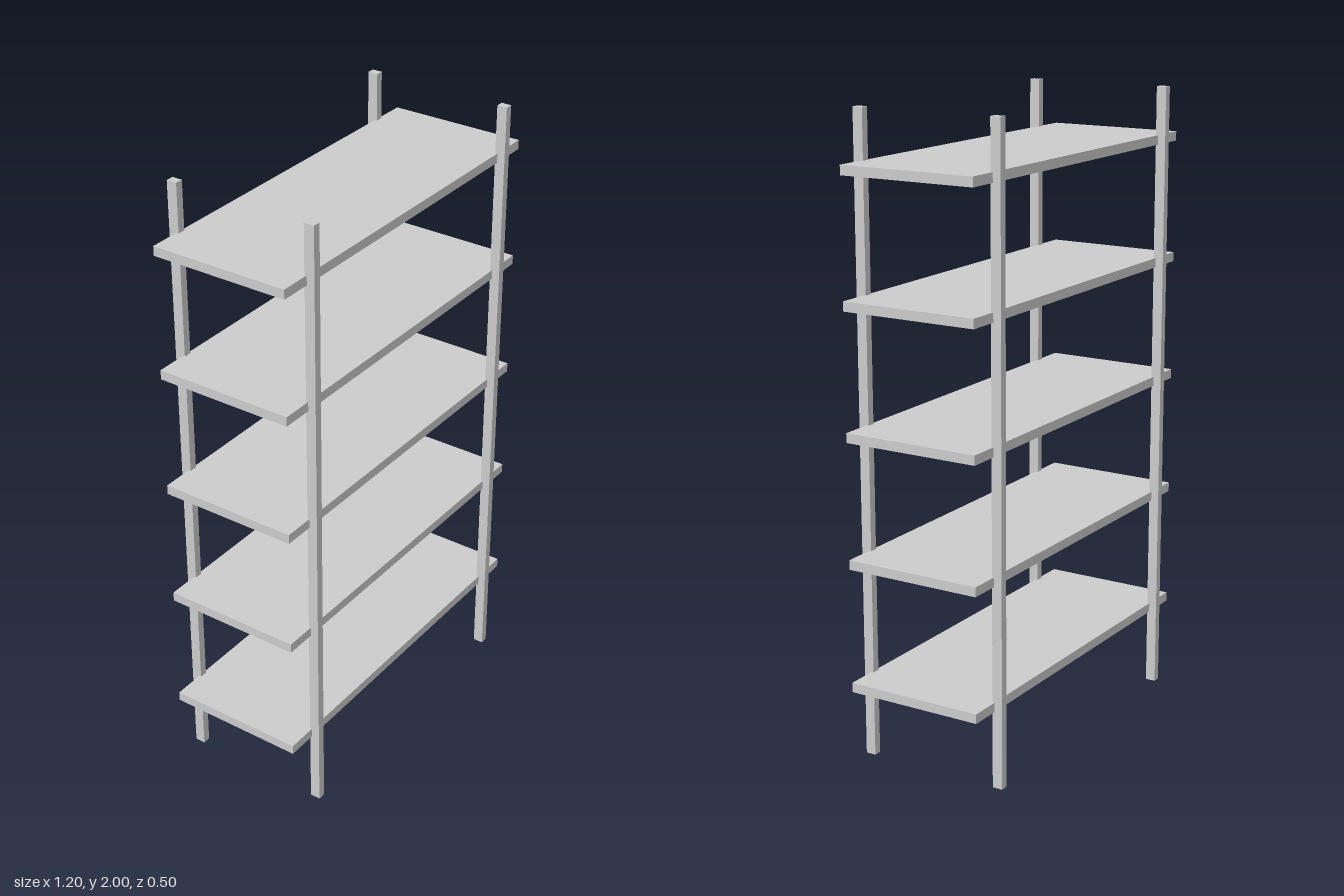
import * as THREE from 'three';

const SHELF = { width: 1.2, thickness: 0.03, depth: 0.447, count: 5, first: 0.26, spacing: 0.393 };
const POST = { width: 0.025, height: 2, depth: 0.033, x: 0.487, z: 0.2325 };

export function createModel() {
  const group = new THREE.Group();
  group.name = 'shelvingUnit';
  const material = new THREE.MeshStandardMaterial({ color: 0xcccccc });

  const addPart = (name, geometry, x, y, z) => {
    const mesh = new THREE.Mesh(geometry, material);
    mesh.name = name;
    mesh.position.set(x, y, z);
    group.add(mesh);
  };

  // Evenly spaced shelf boards
  const board = new THREE.BoxGeometry(SHELF.width, SHELF.thickness, SHELF.depth);
  for (let i = 0; i < SHELF.count; i++) {
    addPart(`shelf${i + 1}`, board, 0, SHELF.first + i * SHELF.spacing, 0);
  }

  // Four upright posts, let slightly into the long edges of the boards
  const post = new THREE.BoxGeometry(POST.width, POST.height, POST.depth);
  for (const [side, sx] of [['Left', 1], ['Right', -1]]) {
    for (const [end, sz] of [['front', 1], ['back', -1]]) {
      addPart(`${end}${side}Post`, post, sx * POST.x, POST.height / 2, sz * POST.z);
    }
  }

  return group;
}
